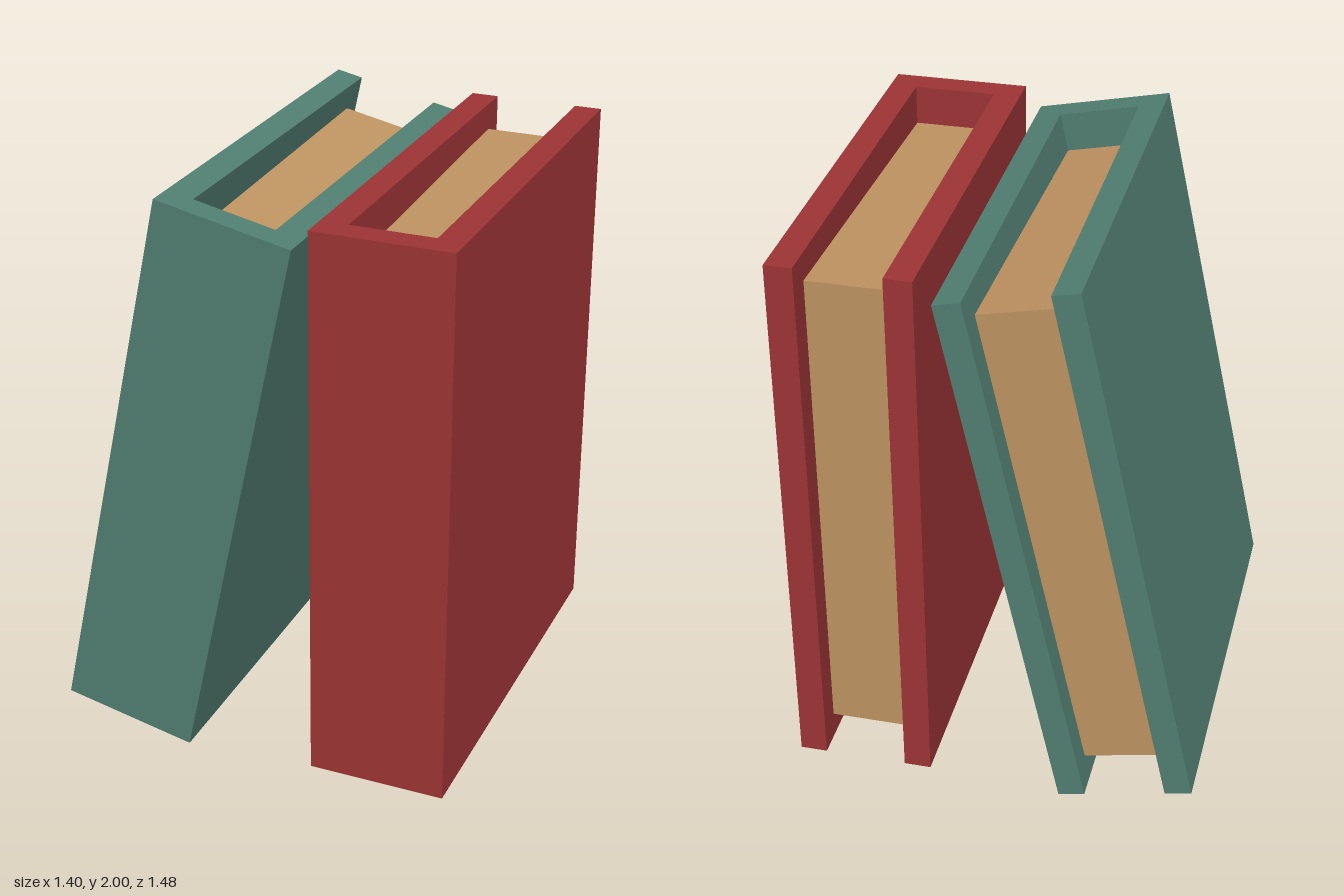
import * as THREE from 'three';

const W = 0.475, H = 1.945, D = 1.48; // book thickness, height, depth
const BOARD = 0.094;                  // cover board thickness
const INSET_BACK = 0.093, INSET_SPINE = 0.14; // page recess at each end

const material = (name, color) => {
  const m = new THREE.MeshStandardMaterial({ color });
  m.name = name;
  return m;
};

const polygon = (points) => new THREE.Shape(points.map(([x, y]) => new THREE.Vector2(x, y)));

// U-shaped cover: two boards joined by a spine at the front (+z)
function coverGeometry() {
  const x = W / 2, z = D / 2, xi = x - BOARD, zi = z - BOARD;
  const shape = polygon([
    [-x, -z], [x, -z], [x, z], [xi, z], [xi, -zi], [-xi, -zi], [-xi, z], [-x, z],
  ]);
  return new THREE.ExtrudeGeometry(shape, { depth: H, bevelEnabled: false }).rotateX(-Math.PI / 2);
}

// Page block: a side profile slightly shorter at the spine, extruded across the thickness
function pagesGeometry() {
  const z = D / 2 - BOARD, width = W - 2 * BOARD;
  const shape = polygon([
    [-z, INSET_SPINE], [z, INSET_BACK], [z, H - INSET_BACK], [-z, H - INSET_SPINE],
  ]);
  return new THREE.ExtrudeGeometry(shape, { depth: width, bevelEnabled: false })
    .translate(0, 0, -width / 2)
    .rotateY(Math.PI / 2);
}

export function createModel() {
  const model = new THREE.Group();
  model.name = 'books';
  const paper = material('paper', 0xc09462);
  const cover = coverGeometry(), pages = pagesGeometry();

  const addBook = (name, coverMaterial, x, y, lean) => {
    const book = new THREE.Group();
    book.name = name;
    for (const [part, geometry, mat] of [['cover', cover, coverMaterial], ['pages', pages, paper]]) {
      const mesh = new THREE.Mesh(geometry, mat);
      mesh.name = part;
      book.add(mesh);
    }
    book.position.set(x, y, 0);
    book.rotation.z = lean;
    model.add(book);
  };

  addBook('uprightBook', material('red cover', 0x9f3536), 0.4625, 0.03, 0);
  addBook('leaningBook', material('green cover', 0x527f72), -0.468, 0.049, -THREE.MathUtils.degToRad(12));
  return model;
}
